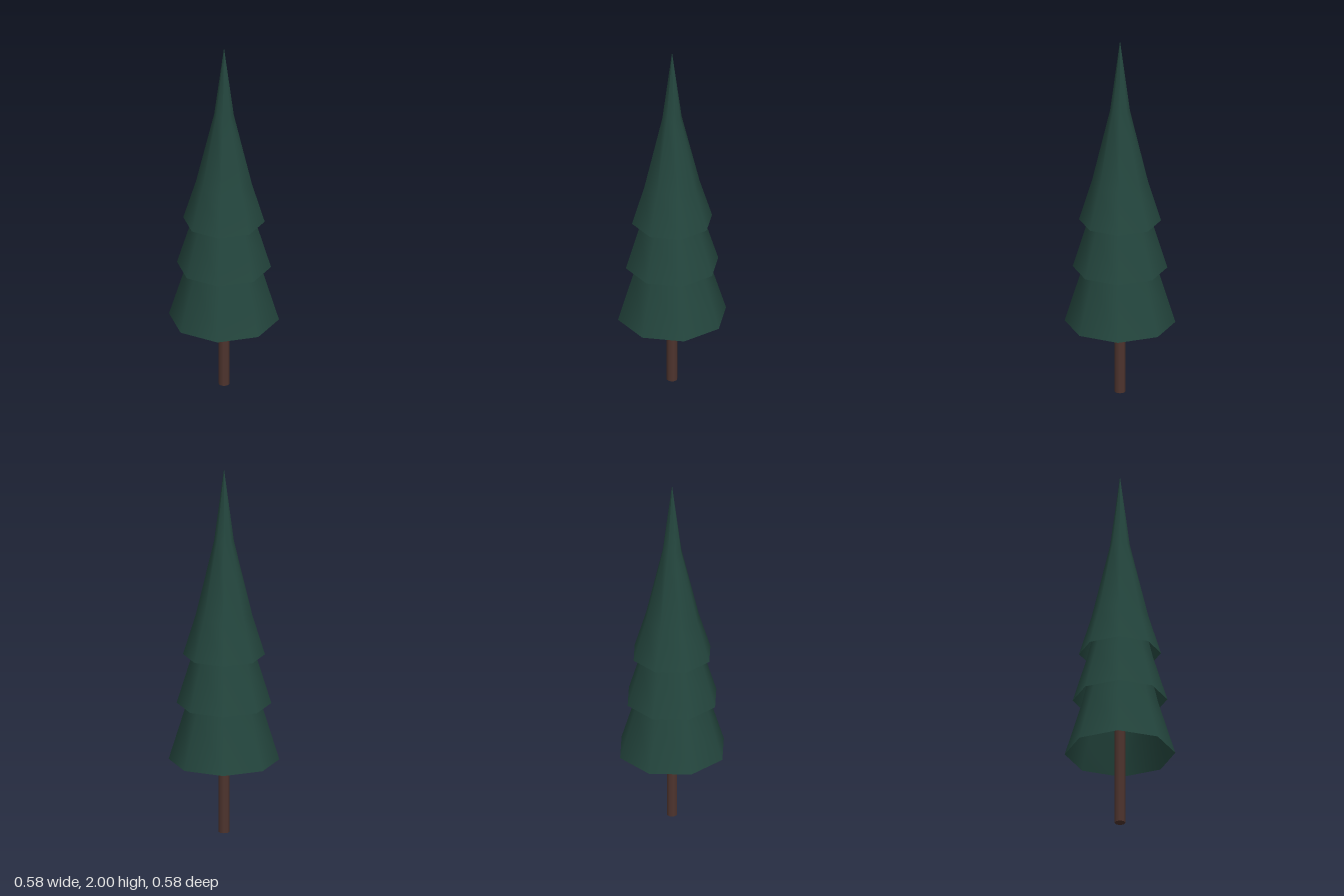
import * as THREE from 'three';

export function createModel() {
  const tree = new THREE.Group();
  tree.name = 'firTree';

  const needles = new THREE.MeshStandardMaterial({ color: 0x24463e, side: THREE.DoubleSide });
  const bark = new THREE.MeshStandardMaterial({ color: 0x4e342e });

  // Eight-sided hollow skirt that narrows in two bends to a sharp tip
  const profile = [[0.215, 0], [0.148, 0.218], [0.052, 0.625], [0, 1.022]]
    .map(([r, y]) => new THREE.Vector2(r, y));
  const skirt = new THREE.LatheGeometry(profile, 8);

  // Stacked tiers: same skirt, larger towards the ground
  const tiers = [
    ['lowerFoliage', 0.4, 1.35],
    ['middleFoliage', 0.71, 1.155],
    ['upperFoliage', 0.978, 1],
  ];
  for (const [name, y, scale] of tiers) {
    const tier = new THREE.Mesh(skirt, needles);
    tier.name = name;
    tier.position.y = y;
    tier.scale.setScalar(scale);
    tree.add(tier);
  }

  // Trunk, reaching up inside the lowest tier
  const trunk = new THREE.Mesh(new THREE.CylinderGeometry(0.029, 0.029, 0.8, 8), bark);
  trunk.name = 'trunk';
  trunk.position.y = 0.4;
  tree.add(trunk);

  return tree;
}
